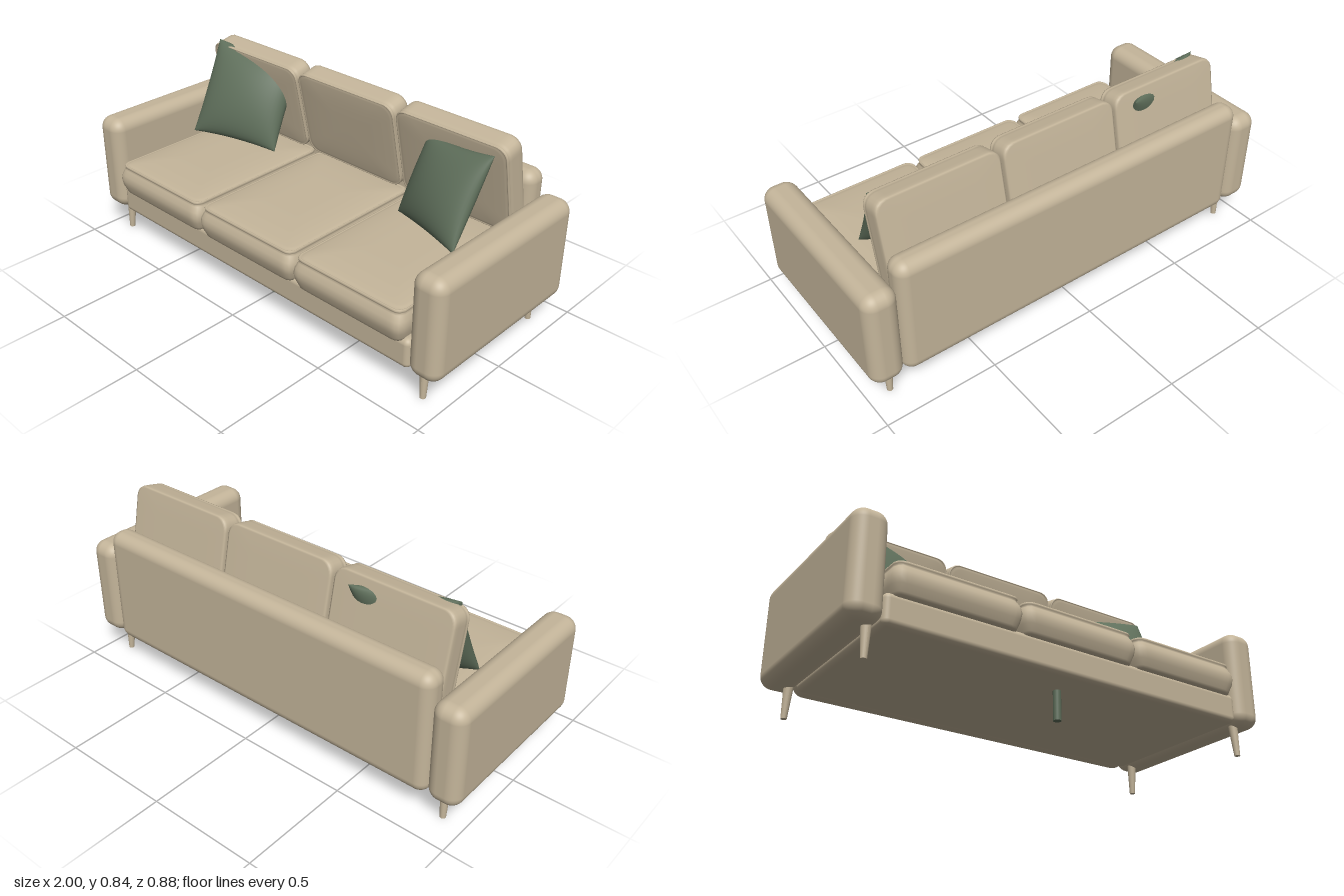
import * as THREE from 'three';
import { RoundedBoxGeometry } from 'three/addons/geometries/RoundedBoxGeometry.js';
import { mergeVertices } from 'three/addons/utils/BufferGeometryUtils.js';

const fabric = new THREE.MeshStandardMaterial({ color: 0xc4b59a });
fabric.name = 'beige fabric';
const green = new THREE.MeshStandardMaterial({ color: 0x5f6f5b });
green.name = 'sage green';

function smooth(geo) {
  geo.deleteAttribute('uv');
  geo.deleteAttribute('normal');
  const out = mergeVertices(geo, 1e-5);
  out.computeVertexNormals();
  return out;
}

// Rounded-rectangle cushion (crown facing +y) with a piped upper rim:
// a lathe profile whose circular rings are squared off
function cushionGeometry(w, h, d, radius, crown, bulge) {
  const t = h / 2;
  const profile = [[0, -t], [0.5, -t], [0.96, -t], [0.99, -t + 0.003], [1, -t + 0.014],
    [1 + bulge * 0.7, -t * 0.4], [1 + bulge, 0], [1 + bulge * 0.7, t * 0.35],
    [1, t - 0.022], [0.988, t - 0.016], [0.998, t - 0.011], [1, t - 0.005], [0.992, t],
    [0.98, t - 0.001], [0.972, t - 0.003]];
  for (const f of [0.95, 0.92, 0.88, 0.8, 0.7, 0.55, 0.35, 0]) {
    profile.push([f, t - 0.002 + crown * (1 - f ** 4)]);
  }
  const geo = new THREE.LatheGeometry(profile.map(p => new THREE.Vector2(...p)), 144);
  const pos = geo.attributes.position;
  const ix = w / 2 - radius, iz = d / 2 - radius;
  for (let i = 0; i < pos.count; i++) {
    const x = pos.getX(i), z = pos.getZ(i), f = Math.hypot(x, z);
    if (f < 1e-6) continue;
    const m = Math.max(Math.abs(x), Math.abs(z));
    let px = (x / m) * w / 2, pz = (z / m) * d / 2;
    const ox = Math.abs(px) - ix, oz = Math.abs(pz) - iz;
    if (ox > 0 && oz > 0) {
      const k = radius / Math.hypot(ox, oz);
      px = Math.sign(px) * (ix + ox * k);
      pz = Math.sign(pz) * (iz + oz * k);
    }
    pos.setXYZ(i, px * f, pos.getY(i), pz * f);
  }
  return smooth(geo);
}

// Throw pillow stretched between four corners: bottom left, bottom right, top right, top left
function pillowGeometry(corners, thickness) {
  const [bl, br, tr, tl] = corners.map(c => new THREE.Vector3(...c));
  const across = br.clone().sub(bl).add(tr).sub(tl);
  const up = tl.clone().sub(bl).add(tr).sub(br);
  const normal = across.cross(up).normalize();
  const geo = new THREE.BoxGeometry(2, 2, 2, 24, 24, 1);
  const pos = geo.attributes.position;
  const a = new THREE.Vector3(), b = new THREE.Vector3();
  for (let i = 0; i < pos.count; i++) {
    const s = Math.sin(pos.getX(i) * Math.PI / 2), t = Math.sin(pos.getY(i) * Math.PI / 2);
    // sides bow slightly inward between the pointed corners
    const u = s * (1 - 0.05 * (1 - t * t)), v = t * (1 - 0.05 * (1 - s * s));
    const puff = Math.pow(Math.max(0, (1 - s * s) * (1 - t * t)), 0.5);
    a.lerpVectors(bl, br, (u + 1) / 2);
    b.lerpVectors(tl, tr, (u + 1) / 2);
    a.lerp(b, (v + 1) / 2).addScaledVector(normal, pos.getZ(i) * thickness * puff);
    pos.setXYZ(i, a.x, a.y, a.z);
  }
  return smooth(geo);
}

export function createModel() {
  const sofa = new THREE.Group();
  sofa.name = 'sofa';
  const add = (name, geo, mat, x = 0, y = 0, z = 0) => {
    const mesh = new THREE.Mesh(geo, mat);
    mesh.name = name;
    mesh.position.set(x, y, z);
    sofa.add(mesh);
    return mesh;
  };

  // Frame
  add('base', new RoundedBoxGeometry(1.72, 0.132, 0.77, 5, 0.025), fabric, 0, 0.194, 0.015);
  add('backrest', new RoundedBoxGeometry(1.72, 0.54, 0.115, 8, 0.05), fabric, 0, 0.396, -0.381);
  const arm = new RoundedBoxGeometry(0.145, 0.45, 0.852, 8, 0.054);
  for (const side of [-1, 1]) {
    add(side > 0 ? 'leftArm' : 'rightArm', arm, fabric, side * 0.9275, 0.351, -0.01);
  }

  // Tapered legs, splayed slightly outward
  for (const side of [-1, 1]) {
    for (const end of [-1, 1]) {
      const leg = new THREE.CylinderGeometry(0.021, 0.0125, 0.15, 24);
      const p = leg.attributes.position;
      for (let i = 0; i < p.count; i++) {
        if (p.getY(i) < 0) p.setXYZ(i, p.getX(i) + side * 0.004, p.getY(i), p.getZ(i) + end * 0.008);
      }
      leg.computeVertexNormals();
      add(end > 0 ? 'frontLeg' : 'backLeg', leg, fabric, side * 0.896, 0.075, end > 0 ? 0.34 : -0.343);
    }
  }
  add('centreLeg', new THREE.CylinderGeometry(0.017, 0.017, 0.14, 24), green, 0, 0.07, 0.246);

  // Three seat cushions and three back cushions
  const seat = cushionGeometry(0.535, 0.14, 0.74, 0.035, 0.015, 0.045);
  const back = cushionGeometry(0.548, 0.102, 0.415, 0.05, 0.006, 0);
  for (const x of [-0.562, 0, 0.562]) {
    add('seatCushion', seat, fabric, x, 0.317, 0.05);
    add('backCushion', back, fabric, x, 0.633, -0.257).rotation.x = Math.PI / 2 + 0.215;
  }

  // Throw pillows
  add('rightPillow', pillowGeometry([[-0.79, 0.435, 0.018], [-0.37, 0.42, -0.11],
    [-0.375, 0.805, -0.295], [-0.8, 0.842, -0.178]], 0.082), green);
  add('leftPillow', pillowGeometry([[0.39, 0.42, -0.09], [0.77, 0.435, 0.04],
    [0.8, 0.8, -0.14], [0.44, 0.75, -0.205]], 0.07), green);
  return sofa;
}
